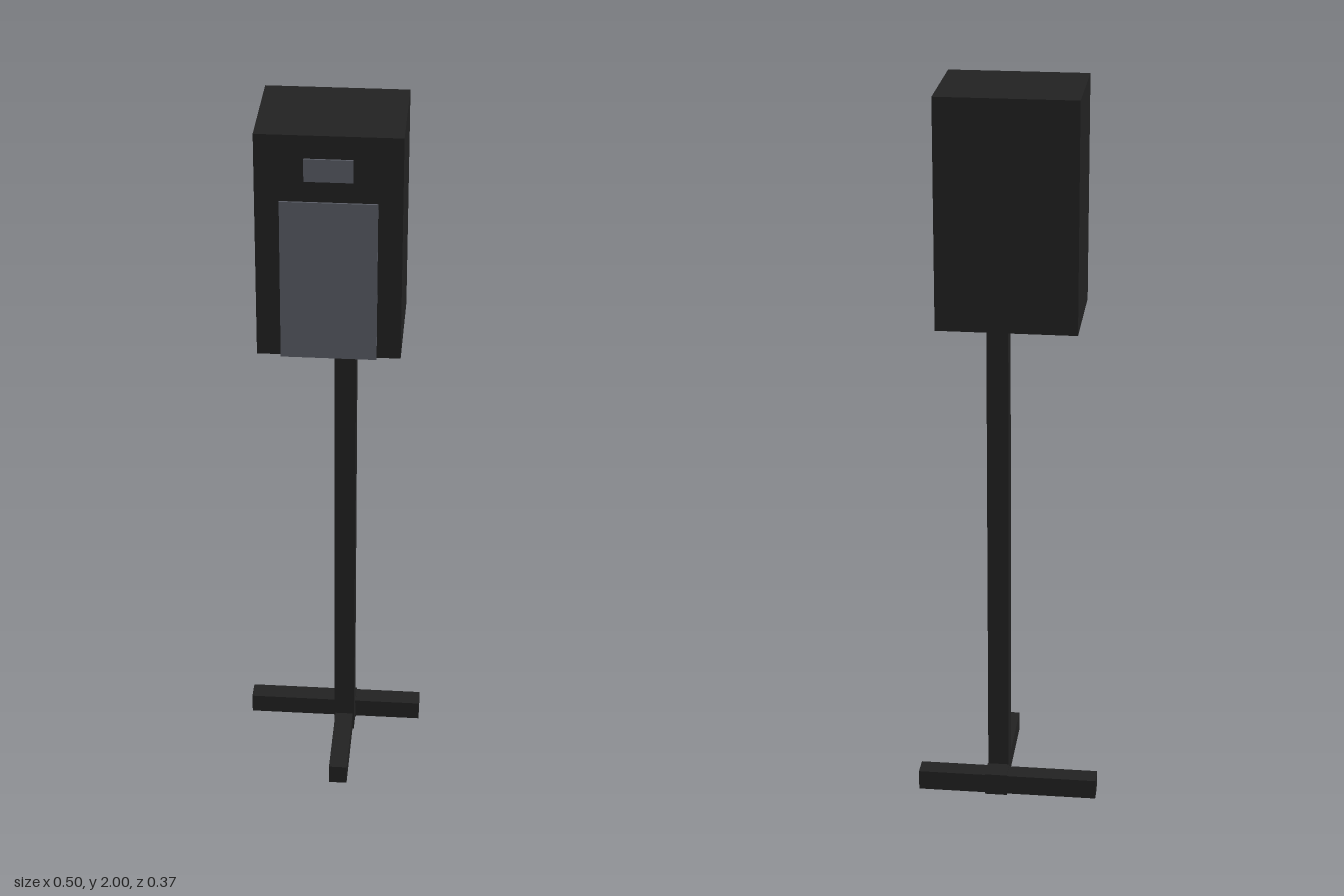
import * as THREE from 'three';

export function createModel() {
  const model = new THREE.Group();
  model.name = 'speakerOnStand';

  const black = new THREE.MeshStandardMaterial({ color: 0x222222 });
  black.name = 'black';
  const grey = new THREE.MeshStandardMaterial({ color: 0x5a5d66 });
  grey.name = 'slate grey';

  // Box given by its lower and upper corners
  function box(name, material, [x0, y0, z0], [x1, y1, z1]) {
    const mesh = new THREE.Mesh(new THREE.BoxGeometry(x1 - x0, y1 - y0, z1 - z0), material);
    mesh.position.set((x0 + x1) / 2, (y0 + y1) / 2, (z0 + z1) / 2);
    mesh.name = name;
    model.add(mesh);
  }

  // Cabinet with its raised front panels
  box('cabinet', black, [-0.1875, 1.38, -0.1875], [0.1875, 2, 0.119]);
  box('grille', grey, [-0.125, 1.376, 0.065], [0.125, 1.82, 0.124]);
  box('badgePanel', grey, [-0.0625, 1.877, 0.115], [0.0625, 1.938, 0.124]);

  // Stand: pole, cross foot, front foot and the block joining them
  box('pole', black, [0.002, 0.003, -0.121], [0.06, 1.38, -0.063]);
  box('crossFoot', black, [-0.25, 0.003, -0.183], [0.25, 0.059, -0.127]);
  box('frontFoot', black, [0.005, 0.003, -0.127], [0.056, 0.06, 0.1865]);
  box('footJoint', black, [0, 0, -0.186], [0.0615, 0.0625, -0.123]);

  return model;
}
